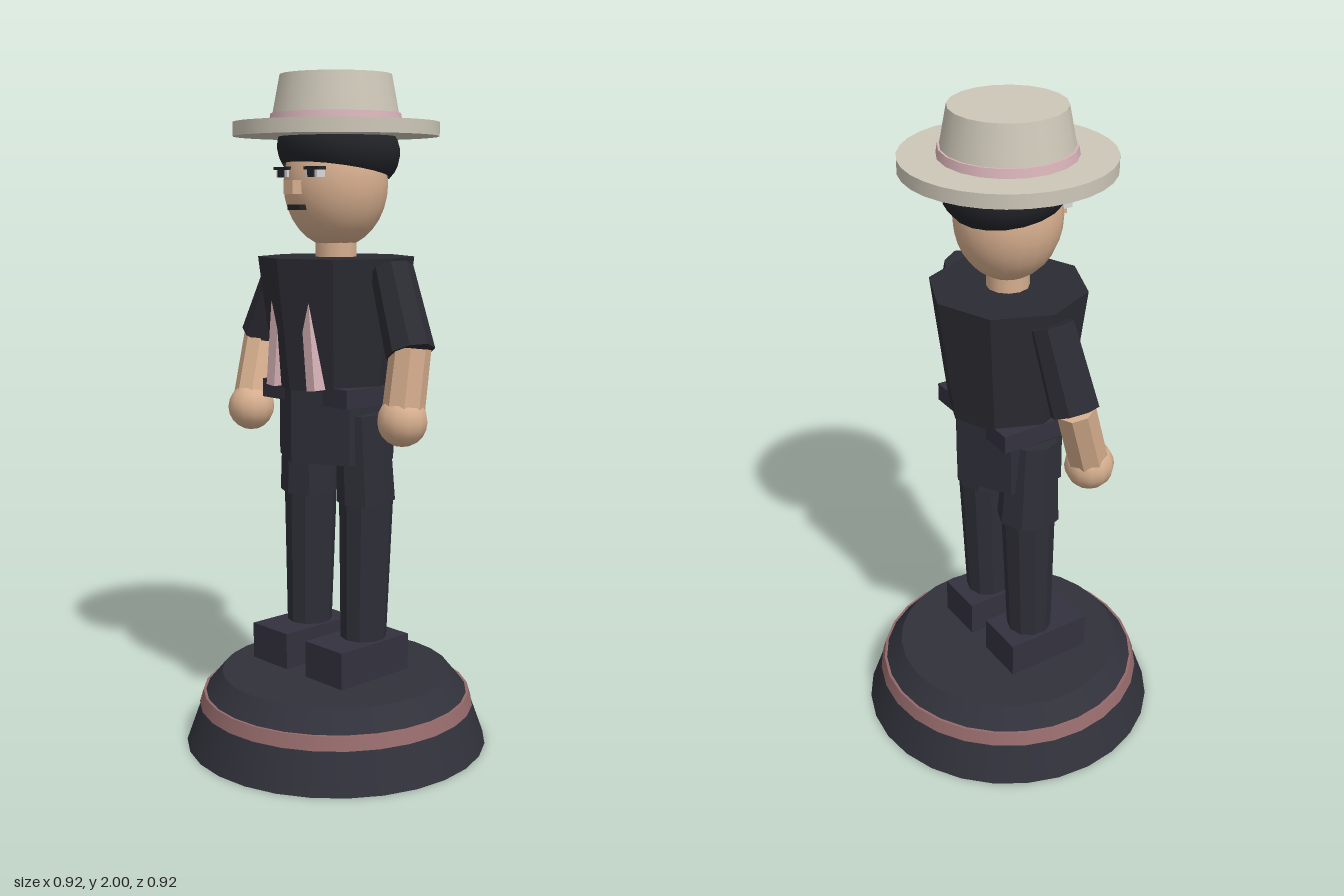
import * as THREE from 'three';

const mat = (name, color) => {
  const m = new THREE.MeshStandardMaterial({ color });
  m.name = name;
  return m;
};

export function createModel() {
  const cloth = mat('charcoal cloth', 0x2b2b33);
  const trouser = mat('dark trousers', 0x2e2e38);
  const shoe = mat('shoe leather', 0x32313e);
  const plinth = mat('plinth slate', 0x30313a);
  const stripe = mat('dusty rose stripe', 0x94696a);
  const skin = mat('skin', 0xd6ae8e);
  const felt = mat('cream felt', 0xcdc7b8);
  const pink = mat('pale pink', 0xd8b3b8);
  const hairMat = mat('black hair', 0x222328);
  hairMat.side = THREE.DoubleSide;
  const white = mat('eye white', 0xd8d8d8);

  const model = new THREE.Group();
  model.name = 'figurine';

  const add = (name, geo, material, x = 0, y = 0, z = 0) => {
    const mesh = new THREE.Mesh(geo, material);
    mesh.name = name;
    mesh.position.set(x, y, z);
    model.add(mesh);
    return mesh;
  };
  const box = (name, w, h, d, material, x, y, z) =>
    add(name, new THREE.BoxGeometry(w, h, d), material, x, y, z);
  // Upright drum between two heights
  const drum = (name, y0, y1, r0, r1, sides, material, flat = false) => {
    let geo = new THREE.CylinderGeometry(r1, r0, y1 - y0, sides);
    if (flat) {
      geo = geo.toNonIndexed();
      geo.computeVertexNormals();
    }
    return add(name, geo, material, 0, (y0 + y1) / 2, 0);
  };
  // Faceted limb segment from point a (radius ra) to point b (radius rb)
  const limb = (name, a, b, ra, rb, material, sides = 8) => {
    const p = new THREE.Vector3(...a), q = new THREE.Vector3(...b);
    const dir = p.clone().sub(q);
    const geo = new THREE.CylinderGeometry(ra, rb, dir.length(), sides).toNonIndexed();
    geo.computeVertexNormals();
    const mesh = add(name, geo, material);
    mesh.position.copy(p).add(q).multiplyScalar(0.5);
    mesh.quaternion.setFromUnitVectors(new THREE.Vector3(0, 1, 0), dir.normalize());
    return mesh;
  };

  // Plinth
  drum('plinthBase', 0, 0.12, 0.46, 0.417, 28, plinth);
  drum('plinthStripe', 0.12, 0.16, 0.42, 0.408, 28, stripe);
  drum('plinthTop', 0.16, 0.22, 0.4, 0.35, 28, plinth);

  // Legs and shoes
  for (const s of [-1, 1]) {
    const side = s > 0 ? 'left' : 'right';
    const r = s > 0 ? 0.08 : 0.088;
    box(side + 'Shoe', 0.157, 0.11, 0.275, shoe, s * 0.121, 0.295, 0.026);
    limb(side + 'Shin', [s * 0.123, 0.78, -0.008], [s * 0.121, 0.34, 0], 0.081, 0.069, trouser, 10);
    limb(side + 'Thigh', [s * 0.118, 1.03, 0.005], [s * 0.122, 0.765, -0.008], 0.078, r + 0.006, trouser);
  }

  // Hips, belt and torso
  drum('hips', 0.885, 1.105, 0.178, 0.178, 6, trouser, true);
  box('belt', 0.37, 0.055, 0.26, shoe, 0, 1.085, 0);
  drum('torso', 1.1, 1.48, 0.182, 0.23, 8, cloth, true);
  for (const s of [-1, 1]) {
    const lapel = box(s > 0 ? 'leftLapel' : 'rightLapel', 0.034, 0.3, 0.05, pink, s * 0.074, 1.255, 0.156);
    lapel.rotation.z = s * 0.1;
  }

  // Arms, posed slightly differently on each side
  const arms = [
    { side: 'left', shoulder: [0.23, 1.45, -0.002], elbow: [0.343, 1.225, 0.036], hand: [0.34, 1.037, 0.063] },
    { side: 'right', shoulder: [-0.228, 1.45, -0.005], elbow: [-0.33, 1.225, 0.005], hand: [-0.296, 1.01, 0.085] },
  ];
  for (const { side, shoulder, elbow, hand } of arms) {
    limb(side + 'Sleeve', shoulder, elbow, 0.062, 0.07, cloth);
    limb(side + 'Forearm', [elbow[0], elbow[1] + 0.015, elbow[2]], hand, 0.058, 0.06, skin);
    add(side + 'Hand', new THREE.SphereGeometry(0.072, 12, 10), skin, ...hand);
  }

  // Neck, head and hair
  drum('neck', 1.47, 1.56, 0.062, 0.062, 12, skin);
  add('head', new THREE.SphereGeometry(1, 20, 16), skin, 0, 1.69, 0).scale.set(0.152, 0.185, 0.155);
  const hair = add('hair', new THREE.SphereGeometry(1, 20, 12, 0, Math.PI * 2, 0, Math.PI * 0.66), hairMat, 0, 1.785, -0.01);
  hair.scale.set(0.184, 0.125, 0.178);
  hair.rotation.x = -0.17;

  // Face
  for (const s of [-1, 1]) {
    const side = s > 0 ? 'left' : 'right';
    box(side + 'Brow', 0.062, 0.009, 0.03, hairMat, s * 0.065, 1.733, 0.142);
    box(side + 'Eye', 0.048, 0.02, 0.03, white, s * 0.064, 1.718, 0.138);
    box(side + 'Pupil', 0.024, 0.02, 0.008, hairMat, s * 0.064, 1.718, 0.154);
  }
  box('nose', 0.038, 0.04, 0.05, skin, 0, 1.68, 0.16);
  box('mouth', 0.052, 0.015, 0.03, hairMat, 0, 1.623, 0.15);

  // Hat
  drum('hatBrim', 1.825, 1.865, 0.3, 0.3, 32, felt);
  drum('hatBand', 1.862, 1.89, 0.195, 0.19, 20, pink);
  drum('hatCrown', 1.86, 2, 0.19, 0.163, 20, felt);

  return model;
}
